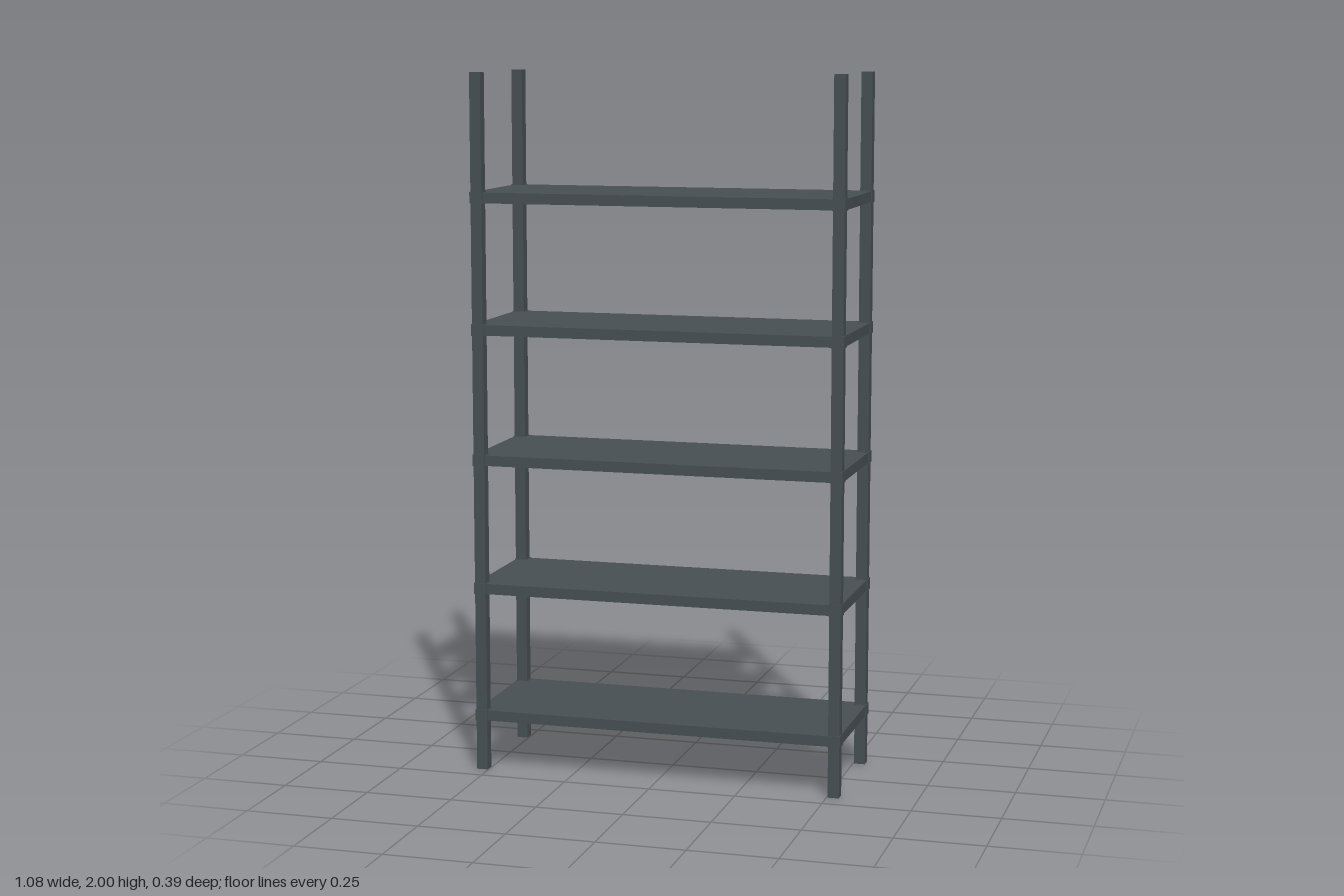
import * as THREE from 'three';

export function createModel() {
  const group = new THREE.Group();
  const steel = new THREE.MeshStandardMaterial({ color: 0x464f52 });
  steel.name = 'dark grey steel';

  const halfW = 0.535, halfD = 0.192, post = 0.032, thick = 0.03;
  const postX = halfW - post / 2, postZ = halfD - post / 2;
  const shelfHeights = [0, 1, 2, 3, 4].map((i) => 0.161 + i * 0.3725);

  const addBox = (name, w, h, d, x, y, z) => {
    const mesh = new THREE.Mesh(new THREE.BoxGeometry(w, h, d), steel);
    mesh.name = name;
    mesh.position.set(x, y, z);
    group.add(mesh);
  };

  // Shelf boards
  shelfHeights.forEach((y, i) => {
    addBox(`shelf${i + 1}`, 2 * halfW, thick, 2 * halfD, 0, y, 0);
  });

  // Corner posts, with a slightly proud collar at each shelf
  for (const sx of [-1, 1]) {
    for (const sz of [-1, 1]) {
      const corner = (sz > 0 ? 'front' : 'back') + (sx > 0 ? 'Left' : 'Right');
      addBox(`${corner}Post`, post, 2, post, sx * postX, 1, sz * postZ);
      shelfHeights.forEach((y, i) => {
        addBox(`${corner}Collar${i + 1}`, post + 0.005, thick + 0.003, post + 0.005,
          sx * postX, y, sz * postZ);
      });
    }
  }
  return group;
}
